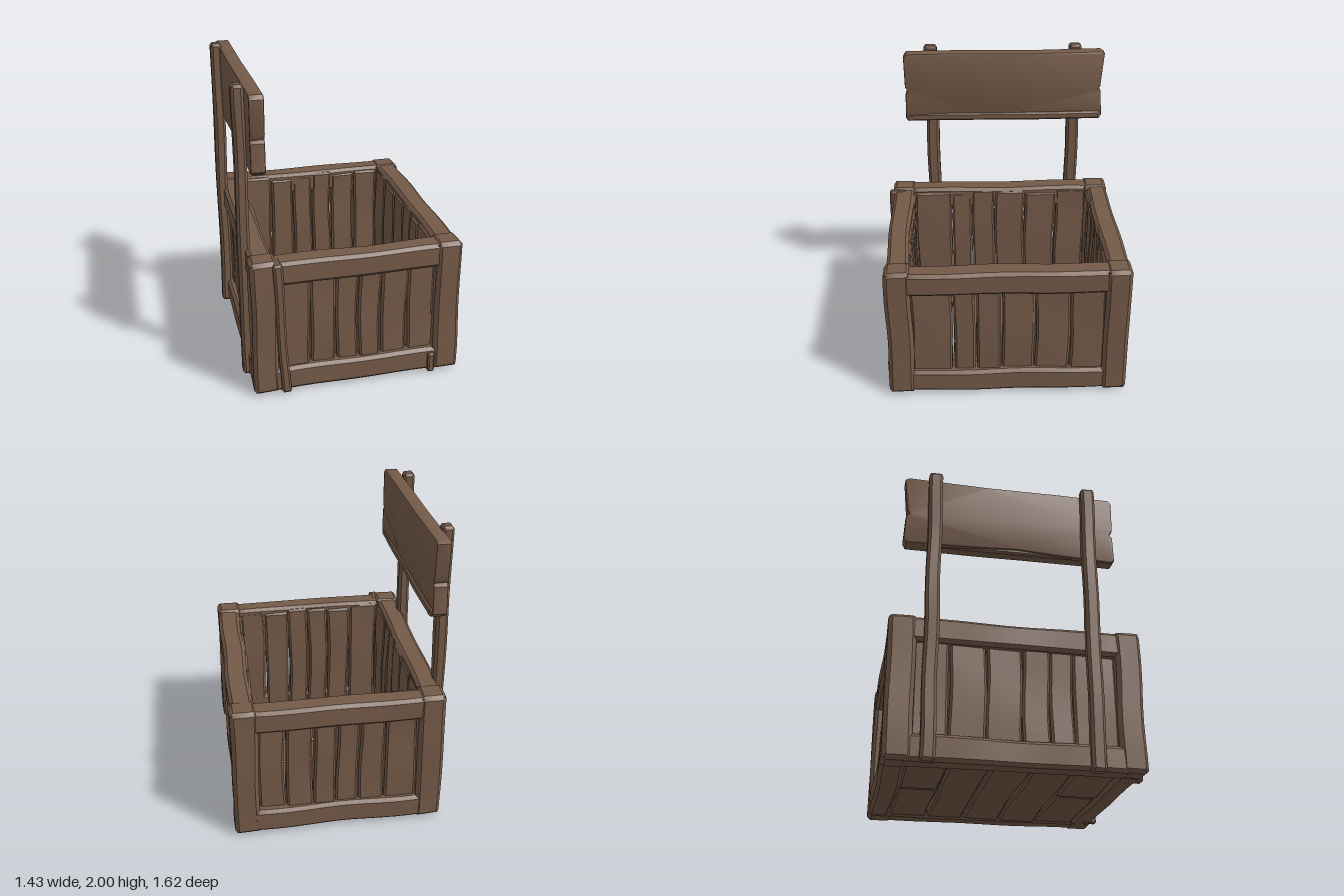
import * as THREE from 'three';
import { toCreasedNormals } from 'three/addons/utils/BufferGeometryUtils.js';

const wood = new THREE.MeshStandardMaterial({ color: 0x745a48 });
wood.name = 'brownWood';

// Smooth, repeatable wobble for hand-cut timber
const wobble = (a, b, c, seed) =>
  Math.sin(a * 7.3 + seed * 1.7) * Math.sin(b * 9.1 + seed * 2.9 + 1) + 0.6 * Math.sin(c * 11.7 + a * 5.1 + seed * 4.3);

let seed = 0;

// Timber between two corners: chamfered edges, slightly warped faces.
// options: bevel, amp (warp amount), lean (x shift from bottom to top)
function timber(group, name, min, max, { bevel = 0.014, amp = 0.005, lean = 0 } = {}) {
  seed++;
  const size = max.map((m, i) => m - min[i]);
  const segs = size.map((s) => Math.max(3, Math.round(s / 0.1) + 2));
  const geo = new THREE.BoxGeometry(1, 1, 1, ...segs);
  const pos = geo.attributes.position;
  for (let i = 0; i < pos.count; i++) {
    const grid = [pos.getX(i), pos.getY(i), pos.getZ(i)].map((v, k) => Math.round((v + 0.5) * segs[k]));
    const onEnd = grid.map((g, k) => g === 0 || g === segs[k]);
    const onEdge = onEnd.filter(Boolean).length > 1;
    const p = grid.map((g, k) => {
      const n = segs[k];
      const b = Math.min(bevel, size[k] * 0.3);
      if (g === 0) return min[k] + (onEdge ? b * 0.45 : 0);
      if (g === n) return max[k] - (onEdge ? b * 0.45 : 0);
      return min[k] + b + ((g - 1) / (n - 2)) * (size[k] - 2 * b);
    });
    const [x, y, z] = p;
    const t = (y - min[1]) / size[1];
    pos.setXYZ(i,
      x + amp * wobble(y, z, x, seed) + lean * (t - 0.5) - 0.012 * z,
      Math.max(0, y + amp * 0.7 * wobble(z, x, y, seed + 5)),
      z + amp * wobble(x, y, z, seed + 9));
  }
  const mesh = new THREE.Mesh(toCreasedNormals(geo, 0.6), wood);
  mesh.name = name;
  group.add(mesh);
  return mesh;
}

function subgroup(parent, name) {
  const g = new THREE.Group();
  g.name = name;
  parent.add(g);
  return g;
}

export function createModel() {
  const model = new THREE.Group();
  model.name = 'crateWithSign';

  // Crate limits
  const X0 = -0.67, X1 = 0.705, Z0 = -0.805, Z1 = 0.785;
  const bottom = 0.012, top = 0.945, rail = 0.165;

  // Corner posts
  const frame = subgroup(model, 'crateFrame');
  for (const [x0, x1] of [[X0, X0 + 0.17], [X1 - 0.17, X1]]) {
    for (const [z0, z1] of [[Z0, Z0 + 0.17], [Z1 - 0.17, Z1]]) {
      timber(frame, 'cornerPost', [x0, bottom, z0], [x1, top, z1], { bevel: 0.025 });
    }
  }

  // Horizontal rails at the foot and the rim of all four sides
  const inset = 0.008;
  for (const [y0, y1] of [[bottom, bottom + rail], [top - rail - 0.005, top - 0.008]]) {
    for (const z of [Z0 + inset, Z1 - inset - 0.145]) {
      timber(frame, 'endRail', [X0 + 0.1, y0, z], [X1 - 0.1, y1, z + 0.145], { bevel: 0.022 });
    }
    for (const x of [X0 + inset, X1 - inset - 0.145]) {
      timber(frame, 'sideRail', [x, y0, Z0 + 0.1], [x + 0.145, y1, Z1 - 0.1], { bevel: 0.022 });
    }
  }

  // Upright wall planks, recessed outside and standing proud inside
  const walls = subgroup(model, 'wallPlanks');
  const xCuts = [-0.5, -0.29, -0.12, 0.03, 0.18, 0.36, 0.54];
  const zCuts = [-0.65, -0.42, -0.19, 0.03, 0.2, 0.35, 0.63];
  const gap = 0.004, recess = 0.045, thick = 0.12;
  for (let i = 0; i < 6; i++) {
    const step = 0.006 * (i % 3);
    const y1 = 0.92 - 0.012 * ((i * 2) % 3);
    const a = xCuts[i] + gap, b = xCuts[i + 1] - gap;
    timber(walls, 'frontPlank', [a, 0.04, Z1 - recess - thick], [b, y1, Z1 - recess - step], { amp: 0.006 });
    timber(walls, 'backPlank', [a, 0.04, Z0 + recess + step], [b, y1, Z0 + recess + thick], { amp: 0.006 });
    const c = zCuts[i] + gap, d = zCuts[i + 1] - gap;
    timber(walls, 'leftPlank', [X1 - recess - thick, 0.04, c], [X1 - recess - step, y1, d], { amp: 0.006 });
    timber(walls, 'rightPlank', [X0 + recess + step, 0.04, c], [X0 + recess + thick, y1, d], { amp: 0.006 });
  }

  // Floor planks, the outer ones in two lengths
  const floor = subgroup(model, 'floorPlanks');
  const floorCuts = [-0.66, -0.4, -0.15, 0.1, 0.36, 0.64];
  for (let i = 0; i < 5; i++) {
    const joints = i === 0 || i === 4 ? [-0.54, -0.06, 0.58] : [-0.54, 0.58];
    for (let j = 0; j + 1 < joints.length; j++) {
      timber(floor, 'floorPlank', [joints[j] + 0.003, 0.025, floorCuts[i] + gap],
        [joints[j + 1] - 0.003, 0.085 + 0.006 * (i % 2), floorCuts[i + 1] - gap]);
    }
  }

  // Spare slats nailed to the front
  timber(model, 'frontSlat', [-0.515, bottom, 0.68], [-0.455, 0.938, 0.805], { lean: -0.04 });
  timber(model, 'frontPeg', [0.495, bottom, 0.7], [0.54, 0.15, 0.802], { bevel: 0.01, amp: 0.003 });

  // Sign posts on the outside of the right wall
  const sign = subgroup(model, 'sign');
  for (const [z0, z1] of [[0.43, 0.52], [-0.59, -0.5]]) {
    timber(sign, 'signPost', [-0.705, 0, z0], [-0.628, 1.998, z1], { bevel: 0.018, amp: 0.004 });
  }

  // Sign board with notched ends; the outline runs along -z and up
  const outline = [
    [-0.64, 1.485], [-0.3, 1.492], [0, 1.51], [0.35, 1.49], [0.72, 1.482], [0.735, 1.5],
    [0.725, 1.67], [0.7, 1.69], [0.72, 1.715], [0.74, 1.95], [0.72, 1.962], [0.2, 1.955],
    [-0.3, 1.963], [-0.64, 1.962], [-0.655, 1.94], [-0.652, 1.73], [-0.628, 1.69], [-0.65, 1.67], [-0.655, 1.5],
  ].map(([x, y]) => new THREE.Vector2(x, y));
  const board = new THREE.ExtrudeGeometry(new THREE.Shape(outline), {
    depth: 0.068, bevelEnabled: true, bevelThickness: 0.012, bevelSize: 0.008, bevelSegments: 2,
  });
  board.rotateY(Math.PI / 2);
  board.translate(-0.624, 0, 0);
  const panel = new THREE.Mesh(toCreasedNormals(board, 0.6), wood);
  panel.name = 'signBoard';
  sign.add(panel);

  // Raised lip along the lower edge of the sign
  timber(sign, 'signLip', [-0.62, 1.475, -0.735], [-0.533, 1.53, 0.655], { bevel: 0.012, amp: 0.003 });

  return model;
}
